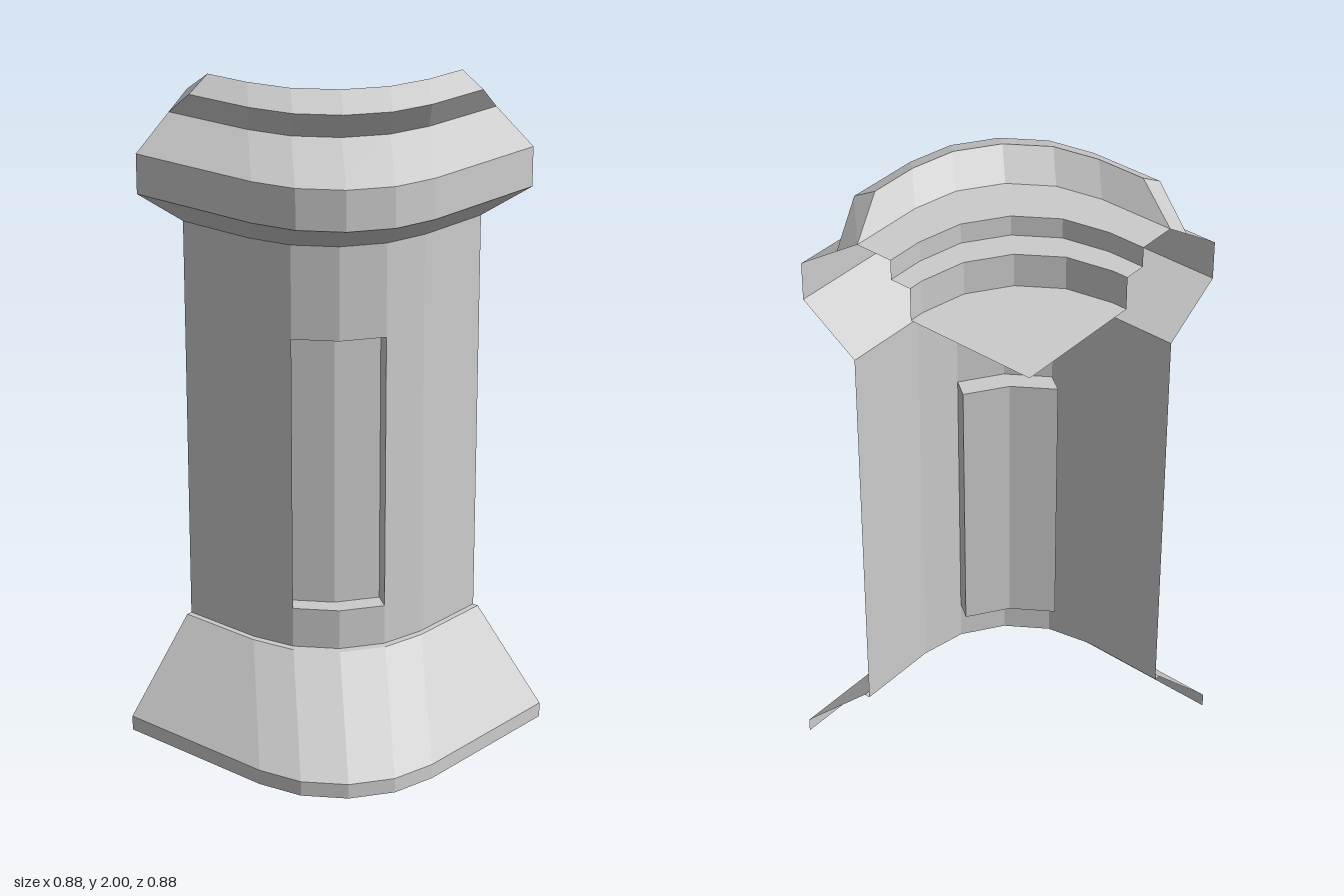
import * as THREE from 'three';

const C = 0.437;   // the two open ends lie on x = C and z = -C
const R = 0.355;   // plan radius of the rounded corner
const material = new THREE.MeshStandardMaterial({
  color: 0xcccccc, flatShading: true, side: THREE.DoubleSide,
});

// Plan outline at height y: straight run, four-sided rounded corner, straight run.
// "end" pulls both ends back from the open planes.
function ring(half, y, end = 0) {
  const r = Math.min(R, half), s = half - r;
  const uv = [[half, end]];
  for (let i = 0; i <= 4; i++) {
    const a = (i * Math.PI) / 8;
    uv.push([s + r * Math.cos(a), s + r * Math.sin(a)]);
  }
  uv.push([end, half]);
  return uv.map(([u, v]) => new THREE.Vector3(C - u, y, v - C));
}

// Skin a list of outlines with flat facets; keep(row, column) can leave holes.
function loft(name, rows, keep = () => true) {
  const pos = [];
  const tri = (a, b, c) => {
    const area = b.clone().sub(a).cross(c.clone().sub(a)).length();
    if (area > 1e-7) for (const p of [a, b, c]) pos.push(p.x, p.y, p.z);
  };
  for (let j = 0; j < rows.length - 1; j++) {
    for (let i = 0; i < rows[j].length - 1; i++) {
      if (!keep(j, i)) continue;
      const a = rows[j][i], b = rows[j][i + 1];
      const c = rows[j + 1][i + 1], d = rows[j + 1][i];
      tri(a, b, c);
      tri(a, c, d);
    }
  }
  const geometry = new THREE.BufferGeometry();
  geometry.setAttribute('position', new THREE.Float32BufferAttribute(pos, 3));
  geometry.computeVertexNormals();
  const mesh = new THREE.Mesh(geometry, material);
  mesh.name = name;
  return mesh;
}

export function createModel() {
  const group = new THREE.Group();
  group.name = 'cornerPillar';
  const shaftHalf = 0.612, low = 0.42, high = 1.26;

  // Flared foot with a small ledge around the shaft
  group.add(loft('base', [
    ring(0.875, 0), ring(0.875, 0.045), ring(0.63, 0.297), ring(shaftHalf, 0.297),
  ]));

  // Shaft with an opening across the two middle corner facets
  group.add(loft('shaft',
    [0.297, low, high, 1.54].map((y) => ring(shaftHalf, y)),
    (j, i) => !(j === 1 && (i === 2 || i === 3))));

  // Sunken panel: walls and back
  const bottom = ring(shaftHalf, low).slice(2, 5);
  const top = ring(shaftHalf, high).slice(2, 5);
  const shift = new THREE.Vector3(0.036, 0, -0.051);
  const inset = (points) => points.map((p) => p.clone().add(shift));
  const rim = [...bottom, ...top.slice().reverse(), bottom[0]];
  group.add(loft('recessWalls', [rim, inset(rim)]));
  group.add(loft('recessBack', [inset(bottom), inset(top)]));

  // Projecting collar
  group.add(loft('collar', [
    ring(shaftHalf, 1.54), ring(0.795, 1.66), ring(0.795, 1.777), ring(0.66, 1.872),
  ]));

  // Raised lip, dropping away at both ends
  const lip = [
    ring(0.66, 1.872), ring(0.718, 1.955, 0.137), ring(0.642, 2, 0.137), ring(0.584, 1.925),
  ];
  group.add(loft('lip', lip));
  const first = lip.map((row) => row[0]);
  const last = lip.map((row) => row[row.length - 1]);
  group.add(loft('lipEndBack', [[first[0], first[1]], [first[3], first[2]]]));
  group.add(loft('lipEndSide', [[last[1], last[0]], [last[2], last[3]]]));

  // Stepped basin down to the flat floor
  group.add(loft('basinSteps', [
    ring(0.584, 1.925), ring(0.468, 1.925), ring(0.468, 1.865),
    ring(0.402, 1.865), ring(0.402, 1.765),
  ]));
  group.add(loft('basinFloor', [ring(0.402, 1.765), ring(0, 1.765)]));

  return group;
}
